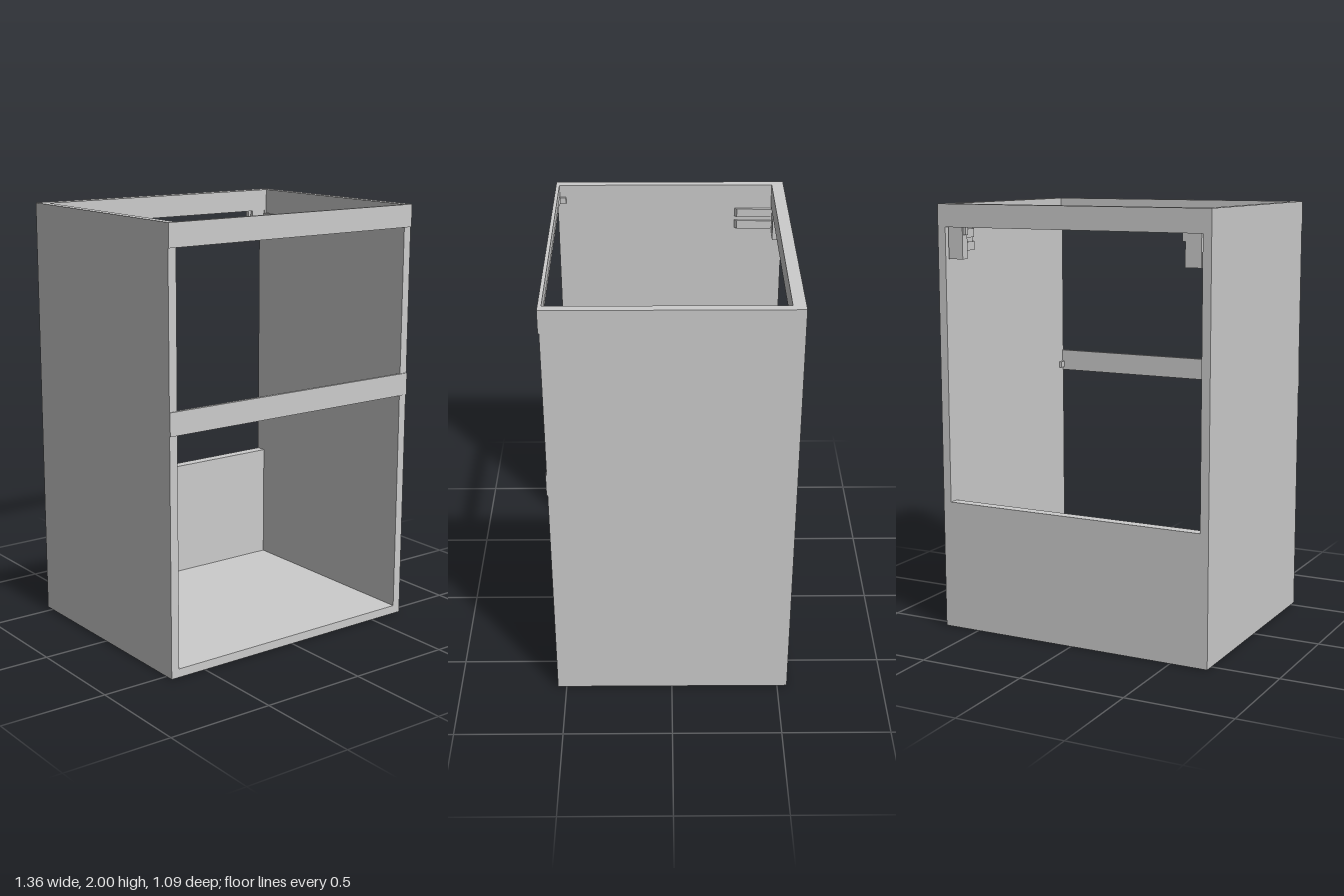
import * as THREE from 'three';

const W = 0.68, H = 2, D = 0.546, T = 0.04; // half width, height, half depth, board thickness
const FRONT = 0.541; // front edge of the side boards

export function createModel() {
  const group = new THREE.Group();
  group.name = 'cabinet';
  const mat = new THREE.MeshStandardMaterial({ color: 0xcccccc, flatShading: true });

  // Box given by its minimum and maximum corners
  const box = (name, x0, x1, y0, y1, z0, z1, parent = group) => {
    const mesh = new THREE.Mesh(new THREE.BoxGeometry(x1 - x0, y1 - y0, z1 - z0), mat);
    mesh.position.set((x0 + x1) / 2, (y0 + y1) / 2, (z0 + z1) / 2);
    mesh.name = name;
    parent.add(mesh);
  };

  // Carcass: floor, low back panel and top back rail
  const inner = W - T;
  box('floor', -inner, inner, 0, T, -D, FRONT);
  box('backPanel', -inner, inner, T, 0.61, -D, -0.495);
  box('backRail', -inner, inner, 1.895, H, -D, -0.49);

  // Front rails: full-width face with a stepped strip between the sides
  for (const [name, y0, y1] of [['topFrontRail', 1.895, H], ['middleFrontRail', 1.1, 1.205]]) {
    box(name, -W, W, y0, y1, FRONT, D);
    box(name + 'Lower', -inner, inner, y0, y0 + 0.05, 0.535, FRONT);
    box(name + 'Upper', -inner, inner, y0 + 0.05, y1, 0.53, FRONT);
  }

  // Wall plate of the hanger: thin, with a tapered front end
  const plate = new THREE.Shape([
    [0.642, 0.49], [0.642, 0.312], [0.627, 0.325], [0.624, 0.49],
  ].map(([x, z]) => new THREE.Vector2(x, z)));

  for (const s of [1, -1]) {
    const side = new THREE.Group();
    side.name = s > 0 ? 'leftSide' : 'rightSide';
    const put = (name, x0, x1, ...rest) =>
      box(name, Math.min(s * x0, s * x1), Math.max(s * x0, s * x1), ...rest, side);

    put('sideBoard', inner, W, 0, H, -D, FRONT);

    // Small tabs holding the ends of the front rails
    put('topRailTab', 0.628, inner, 1.91, 1.94, 0.5, 0.53);
    put('middleRailTab', 0.628, inner, 1.115, 1.145, 0.5, 0.53);

    // Hanger block under the back rail, with its hook
    put('hangerBlock', 0.555, 0.63, 1.75, 1.895, -0.535, -0.495);
    put('hangerFlange', 0.63, inner, 1.78, 1.895, -0.52, -0.49);
    put('hangerHook', 0.54, 0.555, 1.86, 1.895, -0.53, -0.51);

    // Wall plate: two tapered strips with a thin web between them
    for (const [y0, y1] of [[1.78, 1.82], [1.84, 1.88]]) {
      const geo = new THREE.ExtrudeGeometry(
        new THREE.Shape(plate.getPoints().map(p => new THREE.Vector2(s * p.x, p.y))),
        { depth: y1 - y0, bevelEnabled: false });
      geo.rotateX(-Math.PI / 2);
      const strip = new THREE.Mesh(geo, mat);
      strip.position.y = y0;
      strip.name = 'hangerStrip';
      side.add(strip);
    }
    put('hangerWeb', 0.634, inner, 1.82, 1.84, -0.49, -0.33);
    group.add(side);
  }
  return group;
}
